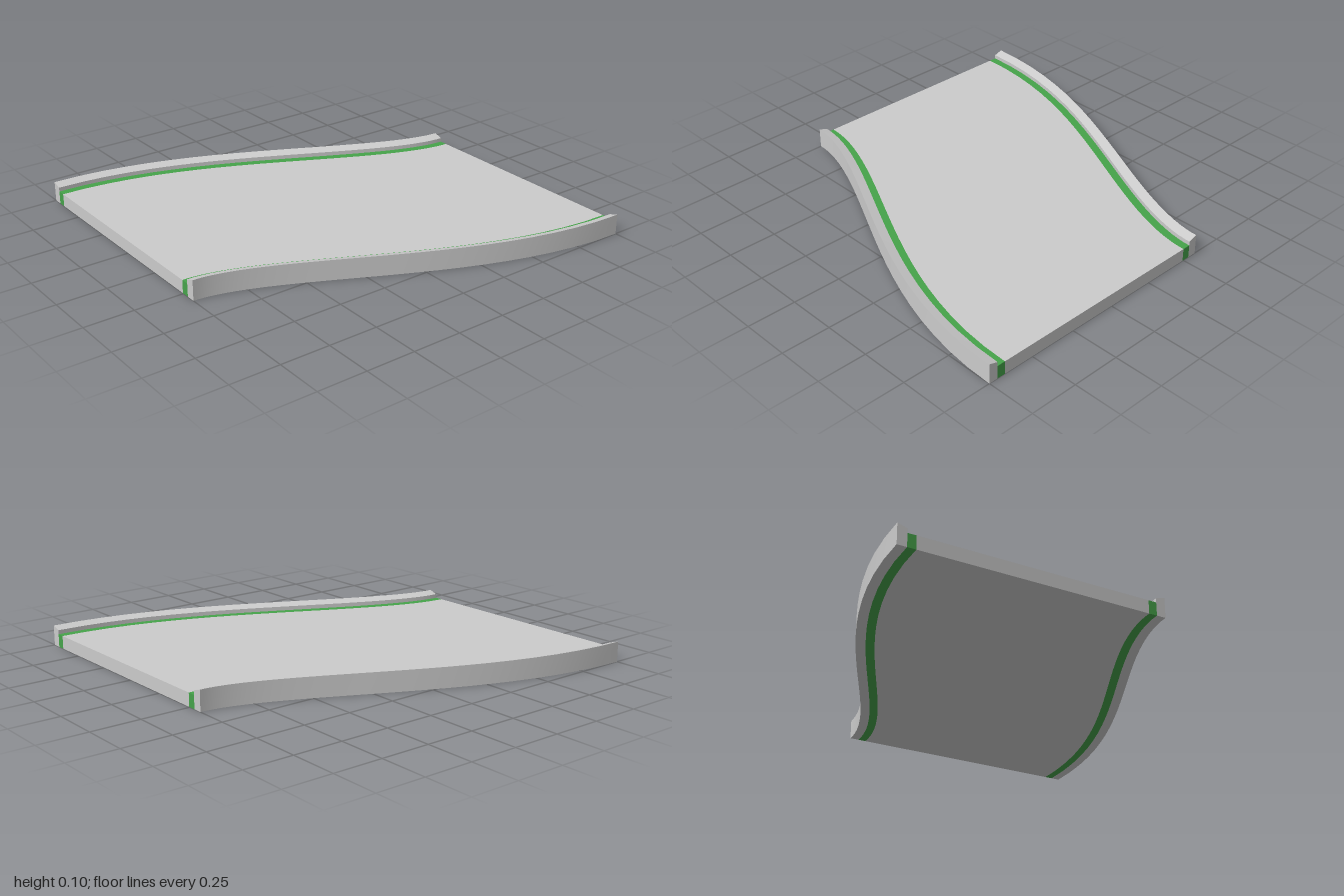
import * as THREE from 'three';

const STEPS = 24;

// Point at sideways offset u from the S-shaped centre line, at height y
function trackPoint(z, u, y) {
  const x = -0.5 * z + z ** 3 / 6;
  const slope = -0.5 + 0.5 * z * z;
  const len = Math.hypot(1, slope);
  return [x + u / len, y, z - (u * slope) / len];
}

// Sweep a convex profile of [offset, height] points (counter-clockwise from the front)
function sweep(name, profile, color) {
  const pos = [], index = [];
  const n = profile.length;
  const zAt = (j) => 1 - (2 * j) / STEPS;
  // each side has its own vertices: smooth lengthwise, sharp at profile corners
  for (let i = 0; i < n; i++) {
    const start = pos.length / 3;
    for (let j = 0; j <= STEPS; j++) {
      pos.push(...trackPoint(zAt(j), ...profile[i]));
      pos.push(...trackPoint(zAt(j), ...profile[(i + 1) % n]));
    }
    for (let j = 0; j < STEPS; j++) {
      const a = start + j * 2;
      index.push(a, a + 2, a + 3, a, a + 3, a + 1);
    }
  }
  // end caps
  for (const z of [1, -1]) {
    const start = pos.length / 3;
    for (const p of profile) pos.push(...trackPoint(z, ...p));
    for (let i = 1; i < n - 1; i++) {
      if (z > 0) index.push(start, start + i, start + i + 1);
      else index.push(start, start + i + 1, start + i);
    }
  }
  const geo = new THREE.BufferGeometry();
  geo.setAttribute('position', new THREE.Float32BufferAttribute(pos, 3));
  geo.setIndex(index);
  geo.computeVertexNormals();
  const mesh = new THREE.Mesh(geo, new THREE.MeshStandardMaterial({ color }));
  mesh.name = name;
  return mesh;
}

export function createModel() {
  const group = new THREE.Group();
  group.name = 'curvedRoad';
  const top = 0.067, grey = 0xcccccc, green = 0x46a34a, white = 0xeeeeee;
  const slab = (u0, u1) => [[u0, 0], [u1, 0], [u1, top], [u0, top]];

  // centre stripe runs through the full thickness of the road
  group.add(sweep('centreStripe', slab(-0.022, 0.022), white));

  for (const [side, s] of [['left', 1], ['right', -1]]) {
    // mirrored profiles are reversed to keep their winding
    const mirror = (p) => (s > 0 ? p : p.map(([u, y]) => [-u, y]).reverse());
    group.add(sweep(side + 'Lane', mirror(slab(0.022, 0.578)), grey));
    group.add(sweep(side + 'EdgeStripe', mirror(slab(0.578, 0.62)), green));
    // raised kerb, its top sloping down towards the road
    const kerb = [[0.62, 0], [0.667, 0], [0.667, 0.103], [0.62, 0.088]];
    group.add(sweep(side + 'Kerb', mirror(kerb), grey));
  }
  return group;
}
